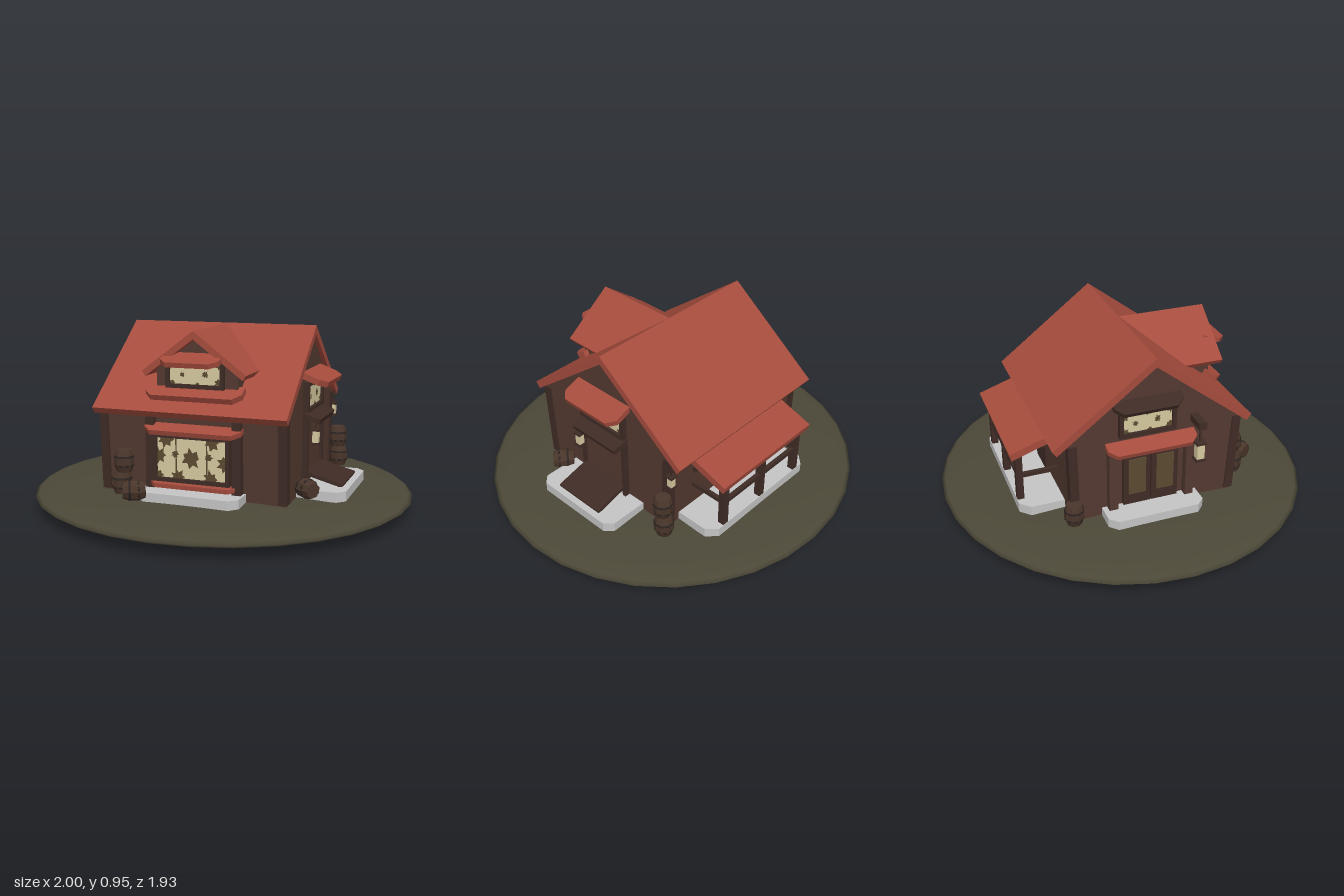
import * as THREE from 'three';

const mat = (name, color) => Object.assign(new THREE.MeshStandardMaterial({ color }), { name });

export function createModel() {
  const M = {
    roof: mat('red roof', 0xa64c3d), wall: mat('brown wall', 0x533930),
    trim: mat('dark trim', 0x3f2b25), stone: mat('pale stone', 0xc4c4c4),
    ground: mat('olive ground', 0x4c4838), glass: mat('cream glass', 0xd6c99f),
    patch: mat('window patch', 0x5a4a30), barrel: mat('barrel wood', 0x49352a),
    band: mat('barrel band', 0x2b2422),
  };
  const root = new THREE.Group();
  root.name = 'cottage';

  const add = (parent, name, geo, m, x = 0, y = 0, z = 0) => {
    const mesh = new THREE.Mesh(geo, m);
    mesh.name = name;
    mesh.position.set(x, y, z);
    parent.add(mesh);
    return mesh;
  };
  const box = (p, name, m, w, h, d, x, y, z) => add(p, name, new THREE.BoxGeometry(w, h, d), m, x, y, z);
  const group = (name, x, z, turn, parent = root) => {
    const g = new THREE.Group();
    g.name = name;
    g.position.set(x, 0, z);
    g.rotation.y = turn;
    parent.add(g);
    return g;
  };
  const shape = (pts) => new THREE.Shape(pts.map(([x, y]) => new THREE.Vector2(x, y)));
  const extrude = (pts, depth) => new THREE.ExtrudeGeometry(shape(pts), { depth, bevelEnabled: false });
  const flat = (geo) => {
    const g = geo.toNonIndexed();
    g.computeVertexNormals();
    return g;
  };
  // Side profile of [z, y] points swept along x
  const alongX = (name, m, pts, x0, x1) =>
    add(root, name, extrude(pts.map(([z, y]) => [-z, y]), x1 - x0).rotateY(Math.PI / 2), m, x0);
  // Slab with clipped outer corners, tilted downwards towards local +z
  const slab = (p, name, m, w, d, t, tilt, x, y, z, c = 0.04) => {
    const a = w / 2;
    const g = extrude([[-a, 0], [a, 0], [a, d - c], [a - c, d], [c - a, d], [-a, d - c]], t);
    return add(p, name, g.rotateX(Math.PI / 2).rotateX(tilt), m, x, y, z);
  };

  let seed = 7;
  const rnd = () => (seed = (seed * 16807) % 2147483647) / 2147483647;
  const clamp = THREE.MathUtils.clamp;
  // Framed window with irregular patches cut off at its border
  const makeWindow = (p, w, h, x, y, z, size, spots) => {
    const g = group('window', x, z, 0, p);
    g.position.y = y;
    box(g, 'pane', M.glass, w, h, 0.01, 0, 0, 0);
    for (const [fx, fy, s] of spots) {
      const pts = [];
      for (let i = 0; i < 14; i++) {
        const r = size * s * (i % 2 ? 0.62 : 1) * (0.8 + 0.4 * rnd());
        const a = (i / 14) * Math.PI * 2;
        pts.push([clamp(fx * w + r * Math.cos(a), -w / 2, w / 2), clamp(fy * h + r * Math.sin(a), -h / 2, h / 2)]);
      }
      add(g, 'pane patch', new THREE.ShapeGeometry(shape(pts)), M.patch, 0, 0, 0.007);
    }
    for (const s of [-1, 1]) {
      box(g, 'window side frame', M.trim, 0.02, h + 0.04, 0.04, s * (w / 2 + 0.01), 0, 0);
      box(g, 'window cross frame', M.trim, w, 0.02, 0.04, 0, s * (h / 2 + 0.01), 0);
    }
    return g;
  };
  const smallSpots = [[-0.25, -0.05, 0.6], [0.2, 0, 0.8], [-0.48, 0.4, 1], [0.48, 0.45, 1], [0.47, -0.4, 1],
    [-0.45, -0.45, 0.8], [0, 0.5, 0.8], [0.05, -0.5, 0.6]];
  const bigSpots = [[0, 0.02, 1.2], [-0.48, 0.05, 1], [-0.38, 0.46, 1], [0.3, 0.47, 1.1], [0.48, -0.05, 1],
    [-0.2, -0.46, 0.9], [0.28, -0.45, 1], [-0.24, 0.1, 0.5], [0.25, 0.08, 0.5], [-0.5, -0.45, 0.8]];

  // Ground mound
  add(root, 'ground', new THREE.SphereGeometry(1, 32, 16).scale(1, 0.069, 0.966), M.ground, 0, 0.069, 0);

  // House body and main roof
  alongX('house walls', M.wall, [[-0.42, 0.1], [0.43, 0.1], [0.455, 0.56], [0, 0.91], [-0.43, 0.56]], -0.48, 0.48);
  alongX('main roof', M.roof, [[0, 0.95], [-0.515, 0.555], [-0.495, 0.525], [0, 0.905], [0.49, 0.525], [0.515, 0.555]], -0.5, 0.5);
  for (const s of [-1, 1]) {
    for (const [z, lean] of [[0.43, 0.055], [-0.41, -0.02]]) {
      box(root, 'corner post', M.trim, 0.045, 0.42, 0.045, s * 0.465, 0.34, z).rotation.x = lean;
    }
  }

  // Front bay with window, awning and sill
  const front = group('front bay', 0.02, 0.44, 0);
  slab(front, 'front step', M.stone, 0.52, 0.21, 0.05, 0, 0.0, 0.168, -0.07);
  makeWindow(front, 0.36, 0.2, -0.01, 0.323, 0.02, 0.042, bigSpots);
  for (const x of [-0.225, 0.225]) box(front, 'bay post', M.trim, 0.045, 0.38, 0.05, x, 0.33, 0.015);
  for (const x of [-0.09, 0.07]) box(front, 'mullion', M.patch, 0.005, 0.2, 0.008, x, 0.323, 0.026);
  slab(front, 'front awning', M.roof, 0.5, 0.1, 0.025, 0.35, 0, 0.5, -0.01);
  slab(front, 'front sill', M.roof, 0.46, 0.07, 0.022, 0.1, 0, 0.207, 0);

  // Dormer
  const dormer = group('dormer', 0.022, 0, 0);
  add(dormer, 'dormer wall', extrude([[-0.21, 0.6], [0.21, 0.6], [0.21, 0.75], [0, 0.915], [-0.21, 0.75]], 0.42), M.wall);
  add(dormer, 'dormer roof', extrude([[0, 0.945], [-0.267, 0.745], [-0.25, 0.72], [0, 0.905], [0.25, 0.72], [0.267, 0.745]], 0.47), M.roof);
  makeWindow(dormer, 0.26, 0.1, -0.005, 0.735, 0.425, 0.022, smallSpots);
  slab(dormer, 'dormer awning', M.roof, 0.3, 0.135, 0.025, 0.28, -0.005, 0.838, 0.415);
  slab(dormer, 'dormer sill', M.roof, 0.5, 0.1, 0.03, 0.5, -0.01, 0.68, 0.4);

  // Right side: door, upper window, sloped entry board
  const right = group('right side', 0.48, 0.007, Math.PI / 2);
  slab(right, 'right step', M.stone, 0.51, 0.34, 0.05, 0, 0, 0.168, -0.1);
  box(right, 'right door', M.wall, 0.27, 0.32, 0.03, 0, 0.33, 0);
  for (const s of [-1, 1]) box(right, 'door post', M.trim, 0.02, 0.34, 0.05, s * 0.147, 0.33, 0.005);
  slab(right, 'door hood', M.trim, 0.31, 0.1, 0.025, 0.3, 0, 0.53, -0.005, 0.01);
  box(right, 'entry board', M.trim, 0.29, 0.018, 0.22, 0, 0.2, 0.1).rotation.x = 0.26;
  makeWindow(right, 0.265, 0.11, 0, 0.605, 0.01, 0.027, smallSpots);
  slab(right, 'right awning', M.roof, 0.36, 0.14, 0.03, 0.36, 0, 0.737, -0.005);

  // Left side: double door, upper window
  const left = group('left side', -0.48, -0.02, -Math.PI / 2);
  slab(left, 'left step', M.stone, 0.5, 0.24, 0.05, 0, 0, 0.168, -0.1);
  for (const s of [-1, 1]) {
    box(left, 'left door leaf', M.trim, 0.14, 0.29, 0.03, s * 0.073, 0.315, 0.005);
    box(left, 'left door panel', M.patch, 0.09, 0.2, 0.008, s * 0.073, 0.33, 0.022);
    box(left, 'left door post', M.wall, 0.045, 0.34, 0.06, s * 0.2, 0.33, 0.01);
  }
  slab(left, 'left awning', M.roof, 0.46, 0.095, 0.025, 0.35, 0, 0.535, -0.005);
  makeWindow(left, 0.25, 0.1, -0.02, 0.63, 0.01, 0.025, smallSpots);
  slab(left, 'upper left awning', M.trim, 0.35, 0.085, 0.025, 0.5, -0.02, 0.755, -0.005);

  // Back porch
  const back = group('back porch', 0.025, -0.42, Math.PI);
  slab(back, 'porch floor', M.stone, 0.76, 0.235, 0.05, 0, 0, 0.168, -0.01, 0.05);
  alongX('porch roof', M.roof, [[-0.42, 0.54], [-0.675, 0.455], [-0.665, 0.418], [-0.42, 0.5]], -0.3, 0.365);
  for (const x of [-0.28, 0, 0.28]) {
    box(back, 'porch post', M.trim, 0.035, 0.28, 0.035, x, 0.295, 0.205);
    box(back, 'porch brace', M.trim, 0.022, 0.11, 0.022, x, 0.43, 0.05).rotation.x = 0.7;
  }
  box(back, 'porch beam', M.trim, 0.62, 0.025, 0.03, 0, 0.42, 0.205);
  for (const s of [-1, 1]) {
    box(back, 'porch rail', M.trim, 0.25, 0.022, 0.022, s * 0.14, 0.3, 0.205);
    box(back, 'porch end rail', M.trim, 0.02, 0.022, 0.2, s * 0.28, 0.3, 0.1);
  }
  box(back, 'back door', M.trim, 0.17, 0.28, 0.02, 0, 0.31, 0.005);

  // Hanging lanterns
  const lantern = (x, y, z, w, h, drop) => {
    const g = group('lantern', x, z, 0);
    box(g, 'lantern light', M.glass, w * 0.85, h, w * 0.85, 0, y, 0);
    for (const s of [-1, 1]) box(g, 'lantern cap', M.trim, w * 1.15, 0.012, w * 1.15, 0, y + s * (h / 2 + 0.004), 0);
    box(g, 'lantern hanger', M.trim, 0.008, drop, 0.008, 0, y + h / 2 + drop / 2, 0);
  };
  lantern(-0.557, 0.443, 0.21, 0.046, 0.085, 0.1);
  box(root, 'lantern bracket', M.trim, 0.12, 0.035, 0.04, -0.525, 0.592, 0.21);
  lantern(0.543, 0.41, 0.137, 0.036, 0.062, 0.07);
  lantern(0.49, 0.447, -0.452, 0.034, 0.055, 0.08);

  // Barrels, upright or lying on their side
  const staves = flat(new THREE.LatheGeometry(
    [[0, -0.055], [0.038, -0.055], [0.05, -0.02], [0.05, 0.02], [0.038, 0.055], [0, 0.055]]
      .map(([r, y]) => new THREE.Vector2(r, y)), 9));
  const hoop = flat(new THREE.CylinderGeometry(0.049, 0.051, 0.01, 9));
  const barrel = (x, y, z, tilt = 0, turn = 0) => {
    const g = group('barrel', x, z, turn);
    g.position.y = y;
    const b = new THREE.Group();
    b.name = 'barrel body';
    b.rotation.z = tilt;
    g.add(b);
    add(b, 'staves', staves, M.barrel);
    add(b, 'upper hoop', hoop, M.band, 0, 0.022, 0);
    add(b, 'lower hoop', hoop, M.band, 0, -0.022, 0).rotation.x = Math.PI;
  };
  const lying = Math.PI / 2;
  barrel(-0.345, 0.19, 0.51);
  barrel(-0.33, 0.3, 0.51, 0, 0.4);
  barrel(-0.235, 0.18, 0.6, lying, 0.5);
  barrel(0.54, 0.185, 0.29, lying, -0.7);
  barrel(0.53, 0.19, -0.44);
  barrel(0.525, 0.3, -0.43, 0, 0.3);
  barrel(-0.505, 0.19, -0.42);

  return root;
}
